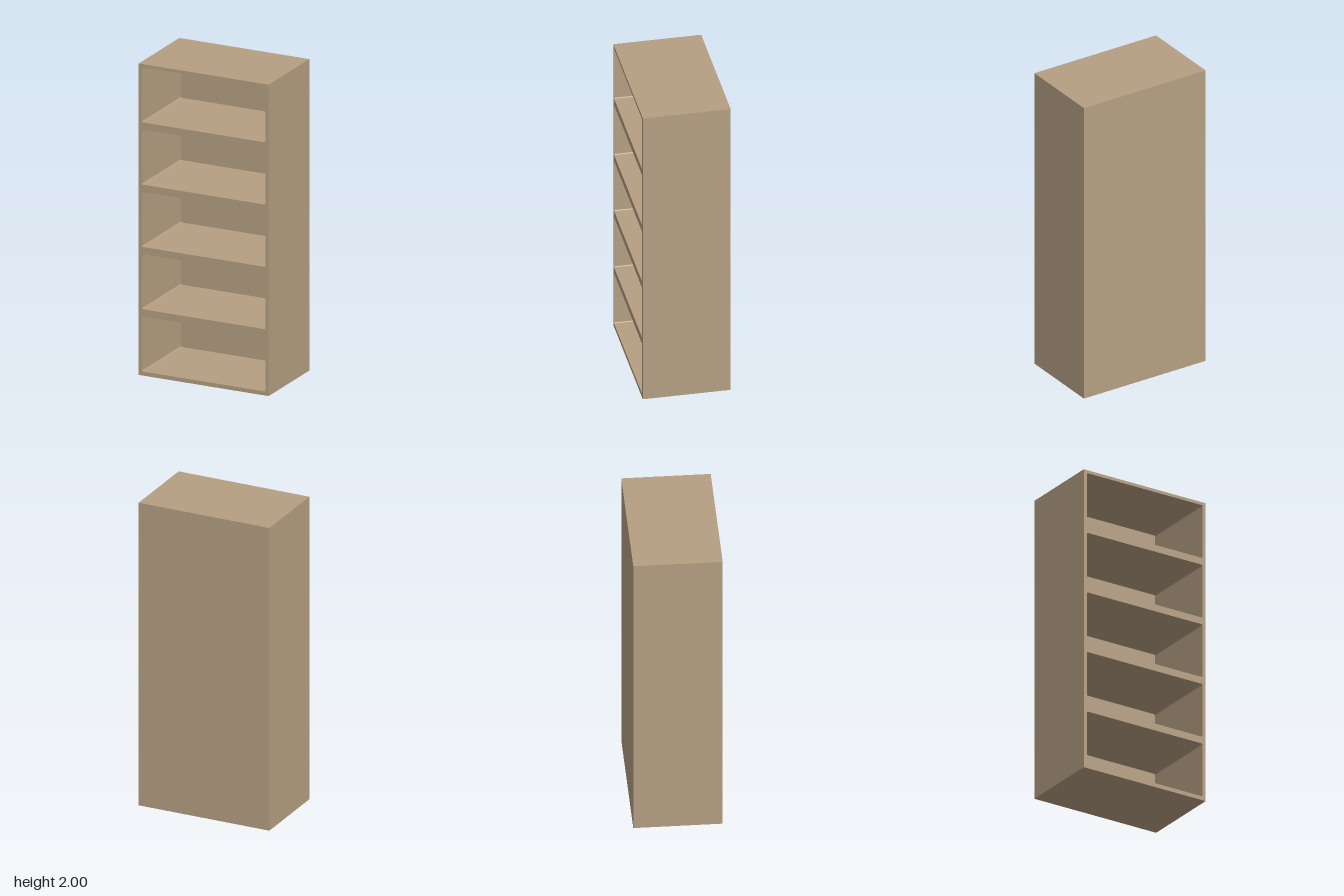
import * as THREE from 'three';

const WIDTH = 0.888, HEIGHT = 2, DEPTH = 0.546, BACK = 0.022;

// Rectangular opening with slightly eased corners
function opening(x0, y0, x1, y1, r) {
  const p = new THREE.Path();
  p.moveTo(x0 + r, y0);
  p.lineTo(x1 - r, y0);
  p.absarc(x1 - r, y0 + r, r, -Math.PI / 2, 0);
  p.lineTo(x1, y1 - r);
  p.absarc(x1 - r, y1 - r, r, 0, Math.PI / 2);
  p.lineTo(x0 + r, y1);
  p.absarc(x0 + r, y1 - r, r, Math.PI / 2, Math.PI);
  p.lineTo(x0, y0 + r);
  p.absarc(x0 + r, y0 + r, r, Math.PI, Math.PI * 1.5);
  return p;
}

export function createModel() {
  const group = new THREE.Group();
  group.name = 'bookcase';
  const wood = new THREE.MeshStandardMaterial({ color: 0xb59f82 });
  wood.name = 'wood';

  // Sides, top, base and shelves as one frame with five compartments
  const w = WIDTH / 2;
  const face = new THREE.Shape();
  face.moveTo(-w, 0);
  face.lineTo(w, 0);
  face.lineTo(w, HEIGHT);
  face.lineTo(-w, HEIGHT);
  face.closePath();
  const inner = w - 0.023;
  for (let i = 0; i < 5; i++) {
    const y = 0.026 + i * 0.4;
    face.holes.push(opening(-inner, y, inner, y + 0.354, 0.008));
  }
  const frame = new THREE.Mesh(
    new THREE.ExtrudeGeometry(face, { depth: DEPTH - BACK, bevelEnabled: false, curveSegments: 4 }),
    wood
  );
  frame.name = 'shelfFrame';
  frame.position.z = -DEPTH / 2 + BACK;
  group.add(frame);

  // Closed back
  const back = new THREE.Mesh(new THREE.BoxGeometry(WIDTH, HEIGHT, BACK), wood);
  back.name = 'backPanel';
  back.position.set(0, HEIGHT / 2, -DEPTH / 2 + BACK / 2);
  group.add(back);

  return group;
}
